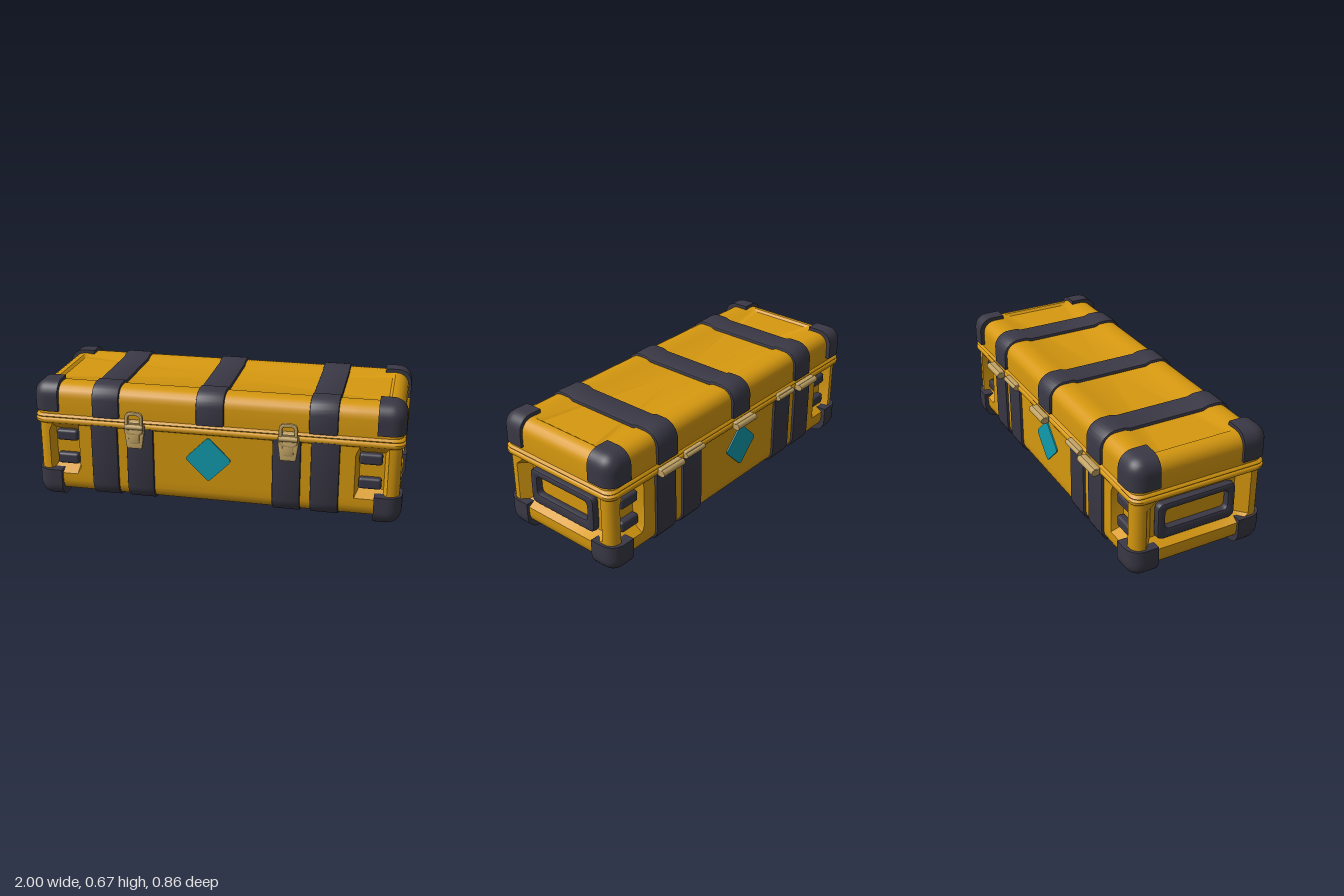
import * as THREE from 'three';
import { toCreasedNormals } from 'three/addons/utils/BufferGeometryUtils.js';
import { RoundedBoxGeometry } from 'three/addons/geometries/RoundedBoxGeometry.js';

const paint = (name, color) => Object.assign(new THREE.MeshStandardMaterial({ color }), { name });
const X = 0.985, Z = 0.365, SIDES = [-1, 1];

// Plan outline of the case at one height; d is the depth of the handle pockets
function outline(x, z, d) {
  const kx = x / X, kz = z / Z, r = 0.05 * kz;
  const q = [[x - d, 0], [x - d, 0.245 * kz], [x, 0.3 * kz]];
  for (let i = 0; i <= 5; i++) {
    const a = (i / 5) * Math.PI / 2;
    q.push([x - r + r * Math.cos(a), z - r + r * Math.sin(a)]);
  }
  q.push([0.92 * kx, z], [0.9 * kx, z - d], [0.77 * kx, z - d], [0.75 * kx, z], [0, z]);
  const half = [...q, ...[...q].reverse().slice(1).map(([a, b]) => [-a, b])];
  return [...half, ...[...half].reverse().slice(1, -1).map(([a, b]) => [a, -b])];
}

// Skin stacked outlines, rows [y, x, z, d] from bottom to top, and cap both ends
function loft(rows) {
  const pos = [], idx = [];
  let n = 0;
  for (const [y, x, z, d = 0] of rows) {
    const ring = outline(x, z, d);
    n = ring.length;
    for (const [a, b] of ring) pos.push(a, y, b);
  }
  const last = (rows.length - 1) * n, low = rows.length * n;
  pos.push(0, rows[0][0], 0, 0, rows[rows.length - 1][0], 0);
  for (let i = 0; i < n; i++) {
    const j = (i + 1) % n;
    for (let k = 0; k < last; k += n) idx.push(k + i, k + n + i, k + j, k + j, k + n + i, k + n + j);
    idx.push(low, i, j, low + 1, last + j, last + i);
  }
  const g = new THREE.BufferGeometry();
  g.setAttribute('position', new THREE.Float32BufferAttribute(pos, 3));
  g.setIndex(idx);
  return toCreasedNormals(g, 0.6);
}

// Rows of a rounded shoulder from the wall to the top (dir 1) or bottom (dir -1)
function shoulder(y, dir, r = 0.07) {
  const rows = [];
  for (let i = 0; i <= 5; i++) {
    const a = (i / 5) * Math.PI / 2, inset = r * (1 - Math.cos(a));
    rows.push([y - dir * r * (1 - Math.sin(a)), X - inset, Z - inset]);
  }
  rows.push([y, 0.91, 0.24], [y - dir * 0.012, 0.895, 0.21]);
  return dir > 0 ? rows : rows.reverse();
}

function roundRect(w, h, r, Type = THREE.Shape) {
  const s = new Type(), a = w / 2, b = h / 2;
  s.moveTo(-a + r, -b).lineTo(a - r, -b).quadraticCurveTo(a, -b, a, -b + r);
  s.lineTo(a, b - r).quadraticCurveTo(a, b, a - r, b);
  s.lineTo(-a + r, b).quadraticCurveTo(-a, b, -a, b - r);
  s.lineTo(-a, -b + r).quadraticCurveTo(-a, -b, -a + r, -b);
  return s;
}

// Bevelled extrusion, centred on its depth
function slab(shape, depth, bevel) {
  const g = new THREE.ExtrudeGeometry(shape, {
    depth: depth - 2 * bevel, bevelEnabled: bevel > 0, bevelThickness: bevel,
    bevelSize: bevel, bevelOffset: -bevel, bevelSegments: 2, curveSegments: 6,
  });
  return toCreasedNormals(g.translate(0, 0, bevel - depth / 2), 0.6);
}

// Strap wrapped over the lid or under the base, following the sunken panel
function strapGeometry(yOpen, yEnd) {
  const dir = Math.sign(yEnd - yOpen), r = 0.08, z = 0.38;
  const s = new THREE.Shape();
  s.moveTo(z, yOpen).lineTo(z, yEnd - dir * r).quadraticCurveTo(z - 0.012, yEnd - dir * 0.012, z - r, yEnd);
  s.lineTo(0.24, yEnd).lineTo(0.21, yEnd - dir * 0.01).lineTo(-0.21, yEnd - dir * 0.01).lineTo(-0.24, yEnd);
  s.lineTo(r - z, yEnd).quadraticCurveTo(0.012 - z, yEnd - dir * 0.012, -z, yEnd - dir * r).lineTo(-z, yOpen);
  return slab(s, 0.15, 0.008).rotateY(Math.PI / 2);
}

// Block whose outward corner (signs s) is rounded and inner sides stay square
function cornerGeometry(s) {
  const size = [0.145, 0.163, 0.153], r = 0.078;
  const g = new THREE.BoxGeometry(...size, 8, 8, 8), p = g.attributes.position;
  for (let i = 0; i < p.count; i++) {
    const q = [p.getX(i), p.getY(i), p.getZ(i)].map((v, k) => v * s[k] + size[k] / 2);
    const core = q.map((v, k) => Math.min(v, size[k] - r));
    const v = q.map((c, k) => c - core[k]), len = Math.hypot(...v);
    const f = len > 0 ? Math.max(...v) / len : 0;
    p.setXYZ(i, ...core.map((c, k) => s[k] * (c + v[k] * f - size[k] / 2)));
  }
  return toCreasedNormals(g, 0.6);
}

export function createModel() {
  const model = new THREE.Group();
  model.name = 'travelCase';
  const yellow = paint('yellowShell', 0xd6980f), dark = paint('darkRubber', 0x393845);
  const brass = paint('brassMetal', 0xbfa163), teal = paint('tealLabel', 0x119bad);
  const add = (name, geo, mat, x = 0, y = 0, z = 0, parent = model) => {
    const m = new THREE.Mesh(geo, mat);
    m.name = name;
    m.position.set(x, y, z);
    parent.add(m);
    return m;
  };

  // Shell: base with handle pockets and rim bead, lid with its own bead
  add('base', loft([
    ...shoulder(0.03, -1), [0.14, X, Z], [0.178, X, Z, 0.06], [0.385, X, Z, 0.06], [0.43, X, Z],
    [0.437, 0.996, 0.376], [0.445, 1, 0.38], [0.456, 1, 0.38], [0.462, 0.996, 0.376], [0.466, 0.988, 0.368],
  ]), yellow);
  add('lid', loft([
    [0.466, 0.988, 0.368], [0.469, 0.995, 0.375], [0.474, 0.998, 0.378], [0.48, 0.995, 0.375],
    [0.486, X, Z], ...shoulder(0.65, 1),
  ]), yellow);

  // Straps
  const lidStrap = strapGeometry(0.488, 0.665), baseStrap = strapGeometry(0.442, 0.018);
  for (const x of [-0.59, -0.018, 0.58]) add('lidStrap', lidStrap, dark, x);
  for (const x of [-0.603, -0.403, 0.392, 0.595]) add('baseStrap', baseStrap, dark, x);

  // Corner guards
  for (const sx of SIDES) for (const sy of SIDES) for (const sz of SIDES) {
    add('cornerGuard', cornerGeometry([sx, sy, sz]), dark, sx * 0.9275, sy > 0 ? 0.588 : 0.0815, sz * 0.311);
  }

  // End handles and the grips in the front and back pockets
  const ring = roundRect(0.45, 0.205, 0.035);
  const hole = roundRect(0.36, 0.108, 0.025, THREE.Path);
  ring.holes.push(new THREE.Path(hole.getPoints(6).map((v) => v.add(new THREE.Vector2(0, 0.01)))));
  const handle = slab(ring, 0.045, 0.012).rotateY(Math.PI / 2);
  const grip = new RoundedBoxGeometry(0.12, 0.062, 0.045, 3, 0.015);
  for (const sx of SIDES) {
    add('endHandle', handle, dark, sx * 0.945, 0.278);
    for (const sz of SIDES) for (const y of [0.218, 0.355]) add('pocketGrip', grip, dark, sx * 0.828, y, sz * 0.322);
  }

  // Diamond labels, front and back
  const label = slab(roundRect(0.18, 0.18, 0.02), 0.008, 0).rotateZ(Math.PI / 4);
  for (const sz of SIDES) add('diamondLabel', label, teal, -0.028, 0.292, sz * (Z + 0.003));

  // Front latches: mount, lever with raised panel, wire loop and pivot bar
  const lever = new THREE.Shape();
  lever.moveTo(-0.032, -0.08).lineTo(0.032, -0.08).quadraticCurveTo(0.042, -0.08, 0.044, -0.068);
  lever.lineTo(0.058, 0.035).quadraticCurveTo(0.058, 0.06, 0.04, 0.06);
  lever.lineTo(-0.04, 0.06).quadraticCurveTo(-0.058, 0.06, -0.058, 0.035).lineTo(-0.044, -0.068);
  lever.quadraticCurveTo(-0.042, -0.08, -0.032, -0.08);
  const loop = roundRect(0.1, 0.13, 0.035);
  loop.holes.push(roundRect(0.062, 0.09, 0.02, THREE.Path));
  for (const x of [-0.42, 0.405]) {
    const latch = new THREE.Group();
    latch.name = 'latch';
    latch.position.set(x, 0, 0);
    model.add(latch);
    add('latchMount', new RoundedBoxGeometry(0.07, 0.1, 0.04, 2, 0.008), brass, 0, 0.44, 0.385, latch);
    add('latchLever', slab(lever, 0.018, 0.006), brass, 0, 0.422, 0.408, latch).rotation.x = -0.05;
    add('leverPanel', slab(roundRect(0.06, 0.09, 0.015), 0.014, 0.004), brass, 0, 0.415, 0.415, latch);
    add('latchLoop', slab(loop, 0.02, 0.006), brass, 0, 0.484, 0.413, latch);
    add('latchPivot', new THREE.CylinderGeometry(0.014, 0.014, 0.1, 12).rotateZ(Math.PI / 2), brass, 0, 0.465, 0.418, latch);
  }

  // Back hinges: large knuckles on the lid straps, small ones on the inner base straps
  const hinge = (x, w, r, z) => {
    add('hingeKnuckle', new THREE.CylinderGeometry(r, r, w, 14).rotateZ(Math.PI / 2), brass, x, 0.457, z);
    add('hingeLeaf', new RoundedBoxGeometry(w * 0.96, 0.044, 0.03, 2, 0.006), brass, x, 0.457, z + 0.016);
  };
  for (const x of [-0.592, -0.01, 0.59]) hinge(x, 0.16, 0.018, -0.412);
  for (const x of [-0.405, 0.395]) hinge(x, 0.14, 0.013, -0.396);
  return model;
}
